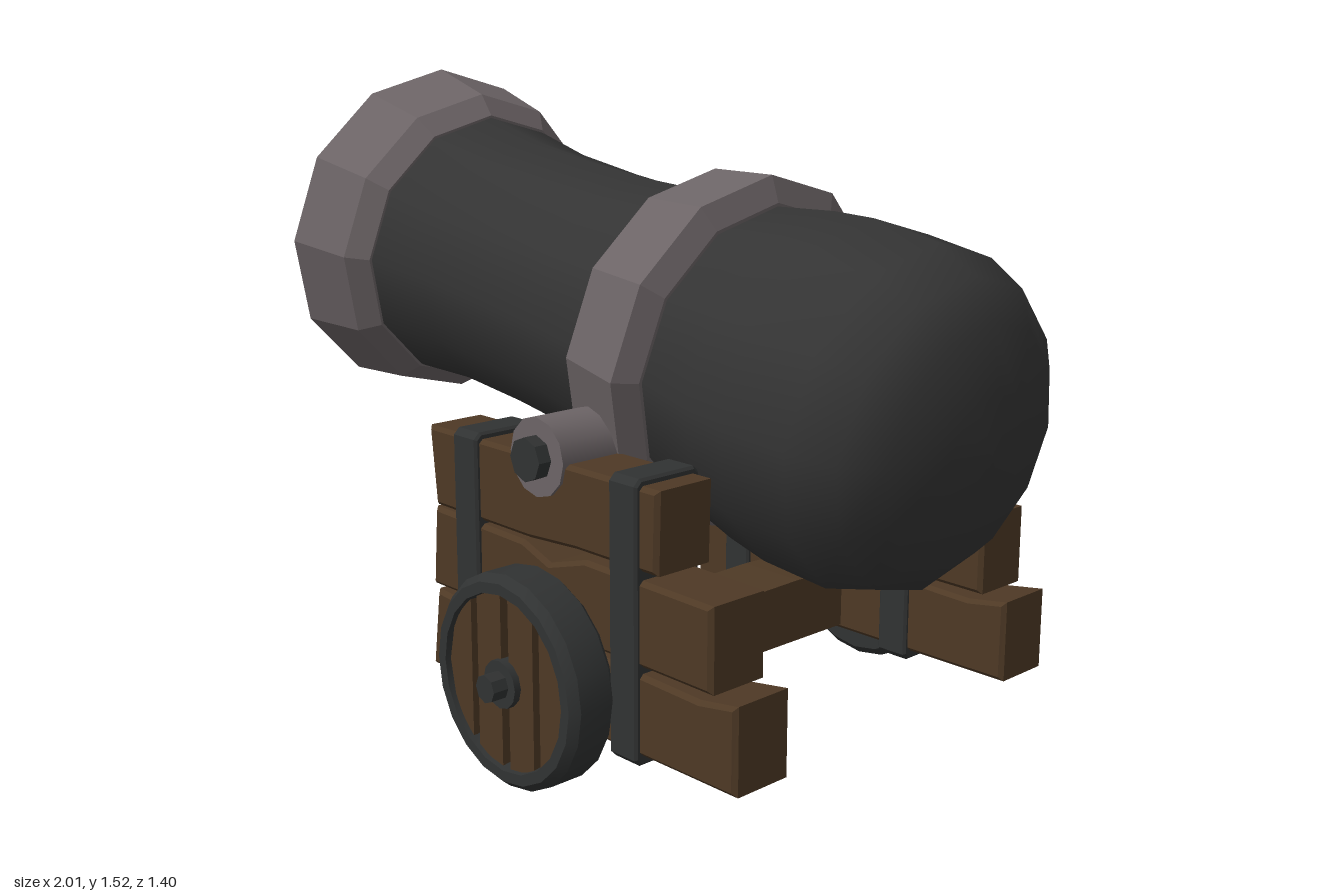
import * as THREE from 'three';
import { toCreasedNormals } from 'three/addons/utils/BufferGeometryUtils.js';

const material = (name, color) => {
  const m = new THREE.MeshStandardMaterial({ color });
  m.name = name;
  return m;
};

export function createModel() {
  const iron = material('dark iron', 0x343434);
  const steel = material('grey steel', 0x6c6466);
  const wood = material('brown wood', 0x4e3925);
  const strapIron = material('strap iron', 0x303232);

  const cannon = new THREE.Group();
  cannon.name = 'cannon';

  const add = (parent, name, geometry, mat, x = 0, y = 0, z = 0) => {
    const mesh = new THREE.Mesh(geometry, mat);
    mesh.name = name;
    mesh.position.set(x, y, z);
    parent.add(mesh);
    return mesh;
  };
  const vectors = (points) => points.map(([x, y]) => new THREE.Vector2(x, y));
  const lathe = (points, sides) => new THREE.LatheGeometry(vectors(points), sides);
  // crease 0 gives flat facets
  const crease = (geometry, angle = 0.01) => toCreasedNormals(geometry, angle);
  // outline in x and y, extruded symmetrically about z = 0
  const slab = (points, depth, bevel = 0) => {
    const g = new THREE.ExtrudeGeometry(new THREE.Shape(vectors(points)), {
      depth: depth - 2 * bevel, bevelEnabled: bevel > 0, bevelSize: bevel,
      bevelThickness: bevel, bevelOffset: -bevel, bevelSegments: 1,
    });
    return g.translate(0, 0, -depth / 2 + bevel);
  };

  // Barrel: profiles are [radius, distance along the tilted axis]
  const barrel = new THREE.Group();
  barrel.name = 'barrel';
  barrel.position.set(0, 0.945, 0);
  barrel.rotation.z = -Math.PI / 2 - 0.152;
  cannon.add(barrel);

  add(barrel, 'barrelBody', lathe([
    [0.355, -0.73], [0.352, -0.69], [0.33, -0.515], [0.325, -0.3], [0.328, -0.1],
    [0.345, 0.12], [0.362, 0.34], [0.39, 0.5], [0.401, 0.61], [0.393, 0.785],
    [0.35, 0.888], [0.27, 0.952], [0.13, 0.994], [0, 1.005],
  ], 12), iron);
  add(barrel, 'bore', lathe([[0, -0.25], [0.31, -0.25], [0.315, -0.9]], 12), iron);
  add(barrel, 'muzzleRing', crease(lathe([
    [0.315, -0.88], [0.325, -0.91], [0.363, -0.967], [0.44, -0.94],
    [0.407, -0.755], [0.36, -0.708], [0.33, -0.708],
  ], 12)), steel);
  add(barrel, 'middleBand', crease(lathe([
    [0.33, 0.112], [0.355, 0.112], [0.402, 0.131], [0.427, 0.309], [0.37, 0.338], [0.34, 0.338],
  ], 12)), steel);

  // Cross beam joining the two carriage sides
  const beam = slab([
    [-0.38, 0.17], [-0.25, 0.185], [-0.18, 0.152], [0.38, 0.15],
    [0.38, 0.3], [0.2, 0.307], [-0.2, 0.302], [-0.38, 0.308],
  ], 0.18);
  add(cannon, 'crossBeam', beam, wood, 0.2, 0, 0).rotation.y = Math.PI / 2;

  // Plank outlines, bottom to top, with rough-cut ends
  const planks = [
    [[-0.235, 0.135], [0.785, 0.14], [0.785, 0.335], [0.68, 0.318], [0.3, 0.328], [-0.1, 0.322], [-0.21, 0.33]],
    [[-0.225, 0.34], [0.715, 0.337], [0.715, 0.525], [0.33, 0.53], [0.21, 0.495], [0.12, 0.527], [-0.21, 0.535]],
    [[-0.205, 0.54], [0.14, 0.537], [0.3, 0.547], [0.555, 0.547], [0.56, 0.73], [-0.225, 0.73]],
  ];
  const strapOutline = [
    [-0.092, 0.13], [-0.077, 0.115], [0.077, 0.115], [0.092, 0.13],
    [0.092, 0.73], [0.077, 0.745], [-0.077, 0.745], [-0.092, 0.73],
  ];

  // Wheel slat: a strip of a disc between x0 and x1
  const slat = (x0, x1, r) => {
    const top = [];
    for (let i = 0; i <= 5; i++) {
      const x = x0 + (x1 - x0) * i / 5;
      top.push([x, Math.sqrt(Math.max(0, r * r - x * x)) + 0.002]);
    }
    const bottom = top.map(([x, y]) => [x, -y]);
    return slab([...bottom, ...top.reverse()], 0.025);
  };

  for (const side of [1, -1]) {
    const carriage = new THREE.Group();
    carriage.name = side > 0 ? 'frontCarriageSide' : 'backCarriageSide';
    cannon.add(carriage);
    const zMid = side * 0.446;

    for (const p of planks) add(carriage, 'plank', slab(p, 0.162, 0.01), wood, 0, 0, zMid);
    for (const x of [-0.073, 0.463]) {
      add(carriage, 'strap', slab(strapOutline, 0.086, 0.006), strapIron, x, 0, zMid).rotation.y = Math.PI / 2;
    }

    // cylinder lying along z
    const rod = (parent, name, r, sides, x, y, z0, z1, mat) => {
      const g = crease(new THREE.CylinderGeometry(r, r, z1 - z0, sides), 0.7);
      add(parent, name, g, mat, x, y, side * (z0 + z1) / 2).rotation.x = Math.PI / 2;
    };
    rod(carriage, 'trunnion', 0.09, 12, 0.185, 0.732, 0.28, 0.535, steel);
    rod(carriage, 'trunnionPin', 0.05, 8, 0.185, 0.732, 0.5, 0.568, strapIron);

    // Wheel with iron tyre and wooden slats
    const wheel = new THREE.Group();
    wheel.name = 'wheel';
    carriage.add(wheel);
    const tyre = crease(lathe([
      [0, -0.063], [0.225, -0.063], [0.245, -0.043], [0.245, 0.043],
      [0.228, 0.063], [0.203, 0.063], [0.198, 0.03], [0, 0.03],
    ], 20), 0.5);
    add(wheel, 'tyre', tyre, strapIron, 0.2, 0.247, side * 0.593).rotation.x = side * Math.PI / 2;
    for (const [a, b] of [[-0.198, -0.118], [-0.096, -0.013], [0.013, 0.096], [0.118, 0.198]]) {
      add(wheel, 'slat', slat(a, b, 0.198), wood, 0.2, 0.247, side * 0.632);
    }
    rod(wheel, 'hub', 0.055, 12, 0.2, 0.247, 0.62, 0.661, strapIron);
    rod(wheel, 'axlePin', 0.032, 8, 0.2, 0.247, 0.5, 0.7, strapIron);
  }
  return cannon;
}
